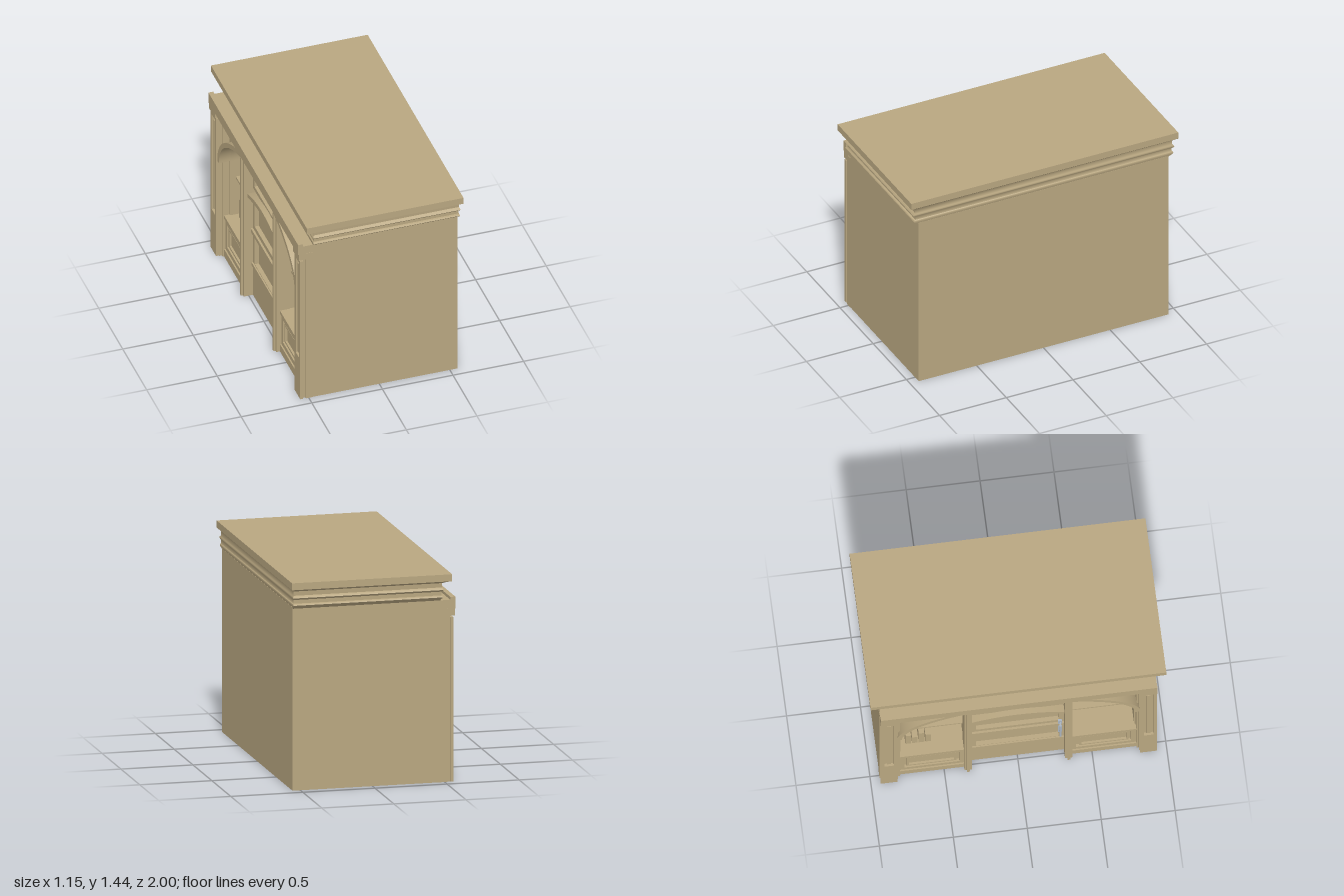
import * as THREE from 'three';
import { toCreasedNormals } from 'three/addons/utils/BufferGeometryUtils.js';

const tan = new THREE.MeshStandardMaterial({ color: 0xb8a680, side: THREE.DoubleSide });
const metal = new THREE.MeshStandardMaterial({ color: 0xaab4c0 });

export function createModel() {
  const root = new THREE.Group();
  const add = (name, geo, mat = tan) => {
    const m = new THREE.Mesh(geo, mat);
    m.name = name;
    root.add(m);
    return m;
  };
  // box given by its limits
  const box = (name, x0, x1, y0, y1, z0, z1, mat) => {
    const g = new THREE.BoxGeometry(x1 - x0, y1 - y0, Math.abs(z1 - z0));
    g.translate((x0 + x1) / 2, (y0 + y1) / 2, (z0 + z1) / 2);
    return add(name, g, mat);
  };
  // outline drawn in (z, y), extruded between two x planes
  const slab = (name, shape, x0, x1) => {
    const g = new THREE.ExtrudeGeometry(shape, { depth: x1 - x0, bevelEnabled: false, curveSegments: 40 });
    g.rotateY(-Math.PI / 2).translate(x1, 0, 0);
    return add(name, toCreasedNormals(g, 0.5));
  };
  // rectangular frame of given rail width
  const frame = (name, x0, x1, y0, y1, za, zb, w) => {
    const z0 = Math.min(za, zb), z1 = Math.max(za, zb);
    const rect = (C, d) => {
      const p = new C();
      p.moveTo(z0 + d, y0 + d).lineTo(z1 - d, y0 + d).lineTo(z1 - d, y1 - d).lineTo(z0 + d, y1 - d).closePath();
      return p;
    };
    const s = rect(THREE.Shape, 0);
    s.holes.push(rect(THREE.Path, w));
    slab(name, s, x0, x1);
  };

  // main body behind the shop front
  box('body', -0.25, 0.555, 0, 1.26, -0.935, 0.935);
  box('floor', -0.47, -0.25, 0, 0.02, -0.8, 0.8);

  // front wall with one wide arched opening
  const A = 0.79, spring = 0.78, rise = 0.39;
  const wall = new THREE.Shape();
  wall.moveTo(-0.935, 0).lineTo(-A, 0).lineTo(-A, spring);
  wall.absellipse(0, spring, A, rise, Math.PI, 0, true);
  wall.lineTo(A, 0).lineTo(0.935, 0).lineTo(0.935, 1.26).lineTo(-0.935, 1.26).closePath();
  slab('frontWall', wall, -0.47, -0.25);

  // projecting arch band
  const ring = new THREE.Shape();
  ring.moveTo(A + 0.035, spring);
  ring.absellipse(0, spring, A + 0.035, rise + 0.035, 0, Math.PI, false);
  ring.lineTo(-A, spring);
  ring.absellipse(0, spring, A, rise, Math.PI, 0, true);
  ring.closePath();
  slab('archBand', ring, -0.55, -0.47);

  // fascia beam with raised front lip
  box('fasciaBeam', -0.575, -0.46, 1.19, 1.25, -0.935, 0.935);
  box('fasciaLip', -0.575, -0.54, 1.25, 1.27, -0.935, 0.935);

  // cornice: rings of y, min x, max x, half z
  const rings = [
    [1.25, -0.47, 0.553, 0.935], [1.26, -0.472, 0.554, 0.945], [1.27, -0.476, 0.558, 0.965],
    [1.278, -0.478, 0.559, 0.972], [1.286, -0.476, 0.558, 0.968], [1.29, -0.472, 0.554, 0.958],
    [1.315, -0.472, 0.554, 0.958], [1.322, -0.478, 0.559, 0.972], [1.33, -0.482, 0.562, 0.978],
    [1.338, -0.478, 0.559, 0.972], [1.345, -0.473, 0.555, 0.962], [1.375, -0.475, 0.555, 0.964],
    [1.382, -0.495, 0.562, 0.975], [1.392, -0.535, 0.575, 1], [1.44, -0.535, 0.575, 1],
  ];
  const pos = [];
  const corners = ([y, a, b, z]) => [[a, y, z], [b, y, z], [b, y, -z], [a, y, -z]];
  const quad = (p, q, r, s) => pos.push(...p, ...q, ...r, ...p, ...r, ...s);
  for (let i = 0; i < rings.length - 1; i++) {
    const lo = corners(rings[i]), hi = corners(rings[i + 1]);
    for (let k = 0; k < 4; k++) {
      const n = (k + 1) % 4;
      quad(lo[k], lo[n], hi[n], hi[k]);
    }
  }
  quad(...corners(rings[rings.length - 1]));
  const cornice = new THREE.BufferGeometry();
  cornice.setAttribute('position', new THREE.Float32BufferAttribute(pos, 3));
  add('cornice', toCreasedNormals(cornice, 0.9));

  for (const s of [-1, 1]) {
    // pilaster in layers, with a sunk panel
    box('pilasterBacking', -0.52, -0.47, 0, 1.19, s * 0.8, s * 0.937);
    box('pilasterCore', -0.54, -0.52, 0, 1.19, s * 0.815, s * 0.925);
    frame('pilasterFrame', -0.56, -0.54, 0.3, 1.13, s * 0.82, s * 0.935, 0.025);
    box('pilasterStrip', -0.555, -0.54, 0.35, 1.08, s * 0.865, s * 0.89);
    box('pilasterPlinth', -0.56, -0.54, 0, 0.3, s * 0.82, s * 0.935);
    box('pilasterCapital', -0.57, -0.5, 1.14, 1.19, s * 0.815, s * 0.935);

    // door post and the wall between door and window
    box('doorPost', -0.535, -0.44, 0, 1.14, s * 0.315, s * 0.365);
    box('doorPostFillet', -0.55, -0.535, 0, 1.13, s * 0.33, s * 0.35);
    box('divider', -0.44, -0.25, 0, 1.16, s * 0.32, s * 0.35);

    // panelled window base and display floor
    box('windowBase', -0.48, -0.25, 0, 0.31, s * 0.36, s * 0.8);
    box('windowSill', -0.51, -0.25, 0.31, 0.335, s * 0.36, s * 0.81);
    box('windowKick', -0.51, -0.48, 0, 0.06, s * 0.36, s * 0.81);
    frame('windowBaseFrame', -0.5, -0.48, 0.06, 0.31, s * 0.36, s * 0.8, 0.035);
    frame('windowBaseMoulding', -0.495, -0.48, 0.11, 0.26, s * 0.415, s * 0.75, 0.015);
    box('windowShelf', -0.43, -0.25, 0.63, 0.645, s * 0.36, s * 0.79);
  }

  // door leaf with framed panels
  box('doorLeaf', -0.44, -0.25, 0, 1.18, -0.32, 0.32);
  frame('doorLowerFrame', -0.47, -0.44, 0.24, 0.55, -0.315, 0.315, 0.035);
  frame('doorUpperFrame', -0.47, -0.44, 0.55, 0.84, -0.315, 0.315, 0.035);
  frame('fanlightFrame', -0.47, -0.44, 0.88, 1.13, -0.315, 0.315, 0.03);
  box('doorMidRail', -0.485, -0.44, 0.52, 0.55, -0.315, 0.315);
  box('doorLowRail', -0.48, -0.44, 0.245, 0.27, -0.315, 0.315);
  box('doorKickPlate', -0.47, -0.44, 0, 0.24, -0.315, 0.315);

  // curved transom over the door
  const transom = new THREE.Shape();
  transom.moveTo(-0.315, 0.81).quadraticCurveTo(0, 0.91, 0.315, 0.81);
  transom.lineTo(0.315, 0.84).quadraticCurveTo(0, 0.95, -0.315, 0.84).closePath();
  slab('transom', transom, -0.51, -0.44);

  // pull handle
  box('handlePlate', -0.485, -0.47, 0.39, 0.6, 0.275, 0.3, metal);
  const grip = new THREE.CylinderGeometry(0.008, 0.008, 0.2, 12);
  add('handleGrip', grip, metal).position.set(-0.515, 0.495, 0.287);
  for (const y of [0.41, 0.58]) box('handleStub', -0.515, -0.48, y - 0.005, y + 0.005, 0.282, 0.292, metal);

  // goods in one display window
  [0.15, 0.11, 0.17, 0.13].forEach((h, i) => {
    const z = -0.75 + i * 0.045;
    box('displayGoods', -0.42, -0.34, 0.335, 0.335 + h, z, z + 0.038);
  });
  box('displayBox', -0.4, -0.3, 0.645, 0.67, -0.74, -0.6);
  return root;
}
